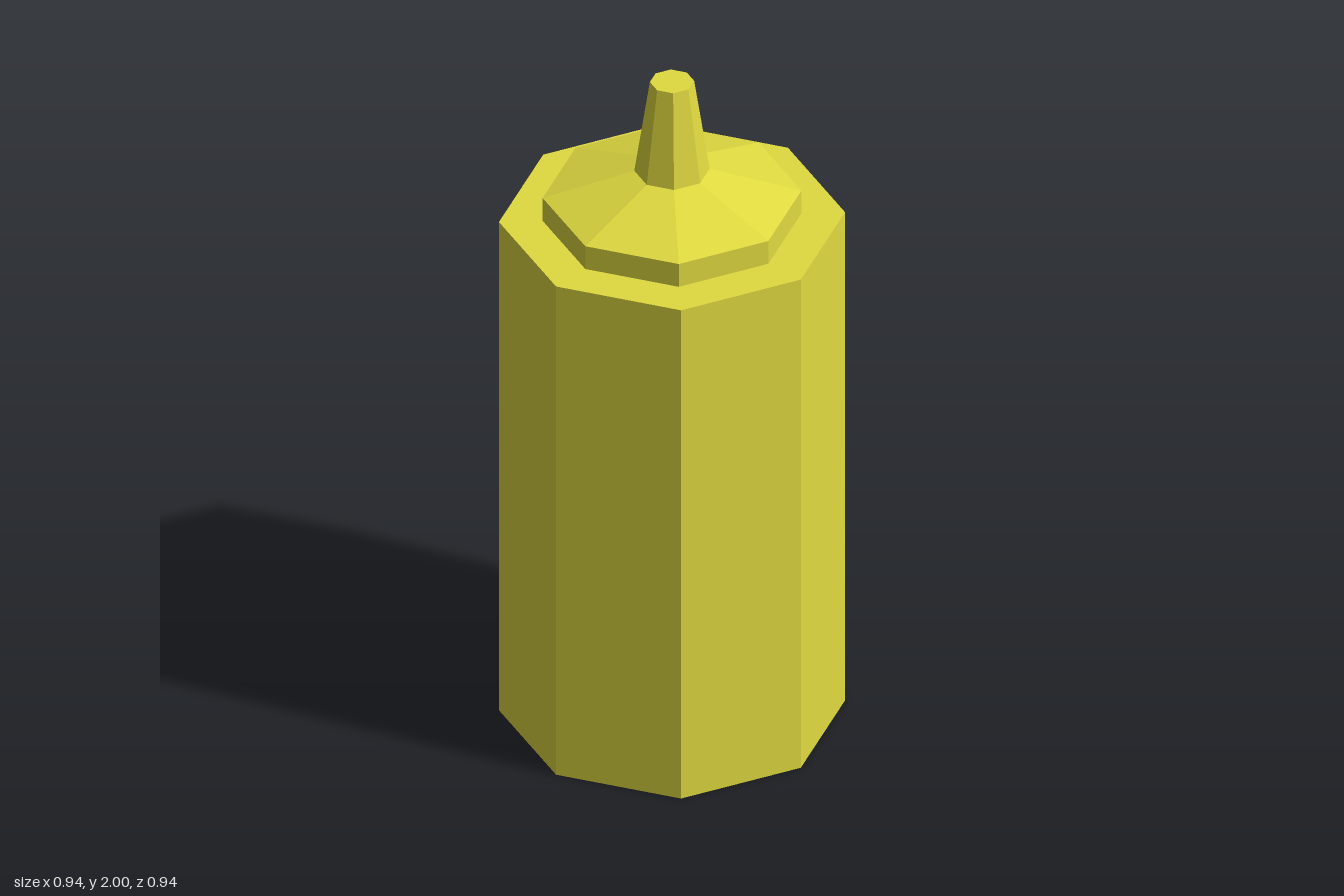
import * as THREE from 'three';

const SIDES = 8;

export function createModel() {
  const group = new THREE.Group();
  const yellow = new THREE.MeshStandardMaterial({ color: 0xe0da40, flatShading: true });

  // One octagonal section standing between two heights
  const section = (name, rBottom, rTop, y0, y1) => {
    const geometry = new THREE.CylinderGeometry(rTop, rBottom, y1 - y0, SIDES);
    const mesh = new THREE.Mesh(geometry, yellow);
    mesh.name = name;
    mesh.position.y = (y0 + y1) / 2;
    group.add(mesh);
  };

  section('bottleBody', 0.468, 0.468, 0, 1.565);
  section('capRim', 0.35, 0.35, 1.565, 1.638);
  section('capSlope', 0.35, 0.102, 1.638, 1.717);
  section('nozzle', 0.102, 0.06, 1.717, 2);

  return group;
}
